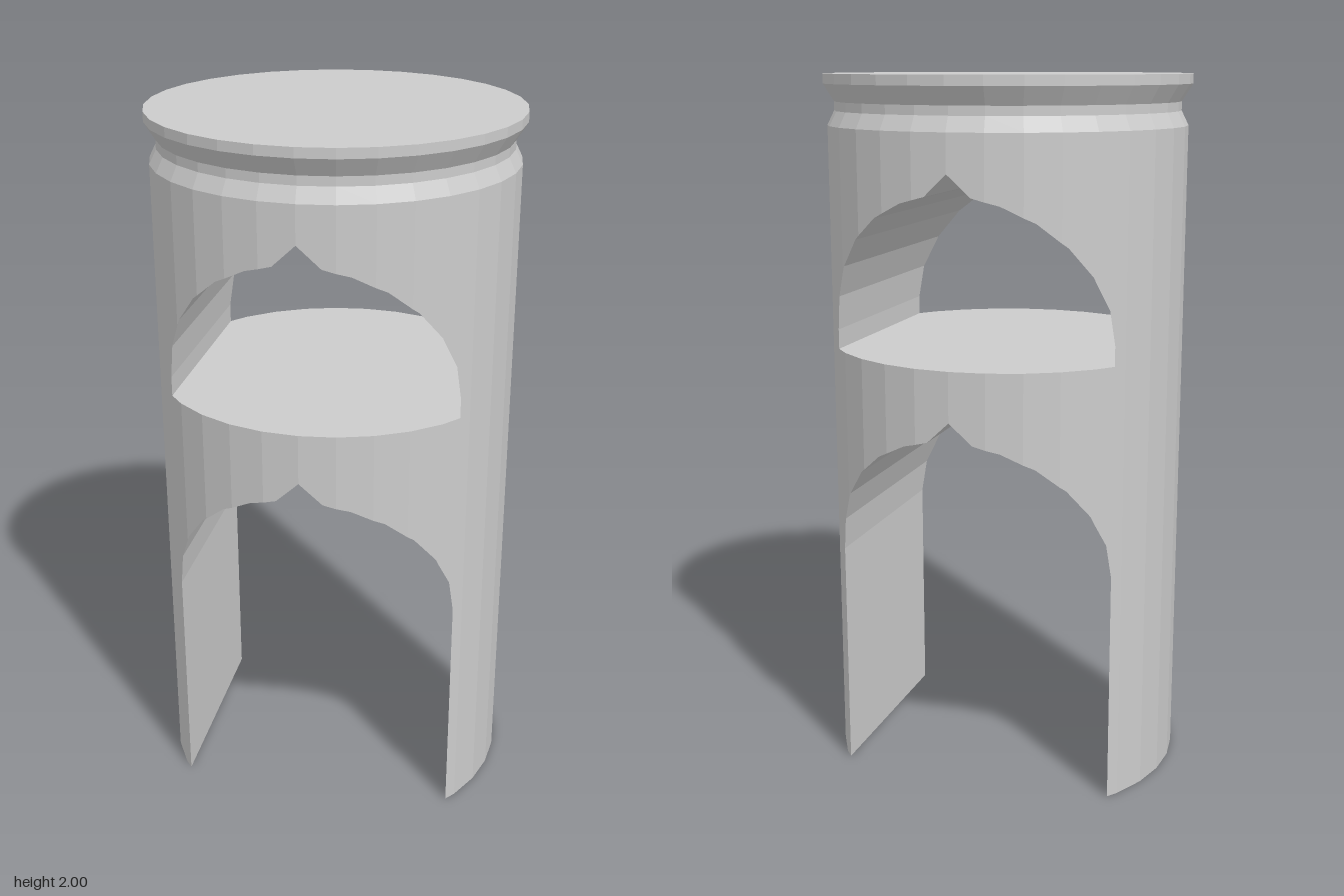
import * as THREE from 'three';

const SIDES = 32, R = 0.505, HALF = 0.397; // column radius, half width of the openings
const NECK = 1.86, SHELF = 1.25, LOW_ARCH = 0.66, HIGH_ARCH = 1.305;

const material = new THREE.MeshStandardMaterial({ color: 0xcccccc, flatShading: true, side: THREE.DoubleSide });

// Arch outline above its springing line: a faceted round with a small pointed notch
const archPoints = [[0, 0.452], [0.063, 0.393]];
for (let k = 5; k >= 0; k--) {
  const a = THREE.MathUtils.degToRad(14 * k);
  archPoints.push([HALF * Math.cos(a), HALF * Math.sin(a)]);
}

// Half outline of the 32-sided column as seen from above
const rim = [];
for (let k = 0; k <= SIDES / 4; k++) {
  const a = (k / SIDES) * Math.PI * 2;
  rim.push([R * Math.sin(a), R * Math.cos(a)]);
}

function sample(points, x) {
  x = Math.abs(x);
  for (let i = 1; i < points.length; i++) {
    const [x0, y0] = points[i - 1], [x1, y1] = points[i];
    if (x <= x1) return y0 + ((y1 - y0) * (x - x0)) / (x1 - x0);
  }
  return points[points.length - 1][1];
}
const depth = (x) => sample(rim, x);
const arch = (base) => (x) => base + sample(archPoints, x);

// All x positions where a facet of the rim or of an arch begins
const breaks = [...new Set([...rim, ...archPoints].flatMap(([x]) => [x, -x]).map((x) => +x.toFixed(5) + 0))]
  .sort((a, b) => a - b);

function quad(out, a, b, c, d) {
  out.push(...a, ...b, ...c, ...a, ...c, ...d);
}

// Slice of the column between two x values, bounded below and above by functions of x
function addSlab(out, from, to, low, high, { top = false } = {}) {
  const xs = breaks.filter((x) => x >= from - 1e-4 && x <= to + 1e-4);
  for (let i = 1; i < xs.length; i++) {
    const a = xs[i - 1], b = xs[i], za = depth(a), zb = depth(b);
    const la = low(a), lb = low(b), ha = high(a), hb = high(b);
    quad(out, [a, la, za], [b, lb, zb], [b, hb, zb], [a, ha, za]);
    quad(out, [b, lb, -zb], [a, la, -za], [a, ha, -za], [b, hb, -zb]);
    quad(out, [a, la, -za], [b, lb, -zb], [b, lb, zb], [a, la, za]);
    if (top) quad(out, [a, ha, za], [b, hb, zb], [b, hb, -zb], [a, ha, -za]);
  }
}

// Flat inner side of an opening
function addJamb(out, side, y0, y1) {
  const x = side * HALF, z = depth(x) * side;
  quad(out, [x, y0, -z], [x, y0, z], [x, y1, z], [x, y1, -z]);
}

function makeMesh(name, positions) {
  const geometry = new THREE.BufferGeometry();
  geometry.setAttribute('position', new THREE.Float32BufferAttribute(positions, 3));
  geometry.computeVertexNormals();
  const mesh = new THREE.Mesh(geometry, material);
  mesh.name = name;
  return mesh;
}

export function createModel() {
  const model = new THREE.Group();
  model.name = 'archedColumn';
  const flat = (y) => () => y;

  // Legs running the full height on either side
  for (const side of [1, -1]) {
    const leg = [];
    addSlab(leg, side > 0 ? HALF : -R, side > 0 ? R : -HALF, flat(0), flat(NECK));
    addJamb(leg, side, 0, LOW_ARCH);
    addJamb(leg, side, SHELF, HIGH_ARCH);
    model.add(makeMesh(side > 0 ? 'leftLeg' : 'rightLeg', leg));
  }

  // Bridge over the lower opening, with a flat shelf on top
  const bridge = [];
  addSlab(bridge, -HALF, HALF, arch(LOW_ARCH), flat(SHELF), { top: true });
  model.add(makeMesh('bridge', bridge));

  // Head over the upper opening
  const head = [];
  addSlab(head, -HALF, HALF, arch(HIGH_ARCH), flat(NECK));
  model.add(makeMesh('head', head));

  // Grooved neck and flared cap
  const profile = [[R, NECK], [0.485, 1.9], [0.485, 1.925], [0.515, 1.973], [0.515, 2], [0, 2]];
  const cap = new THREE.Mesh(
    new THREE.LatheGeometry(profile.map(([x, y]) => new THREE.Vector2(x, y)), SIDES), material);
  cap.name = 'cap';
  model.add(cap);

  return model;
}
